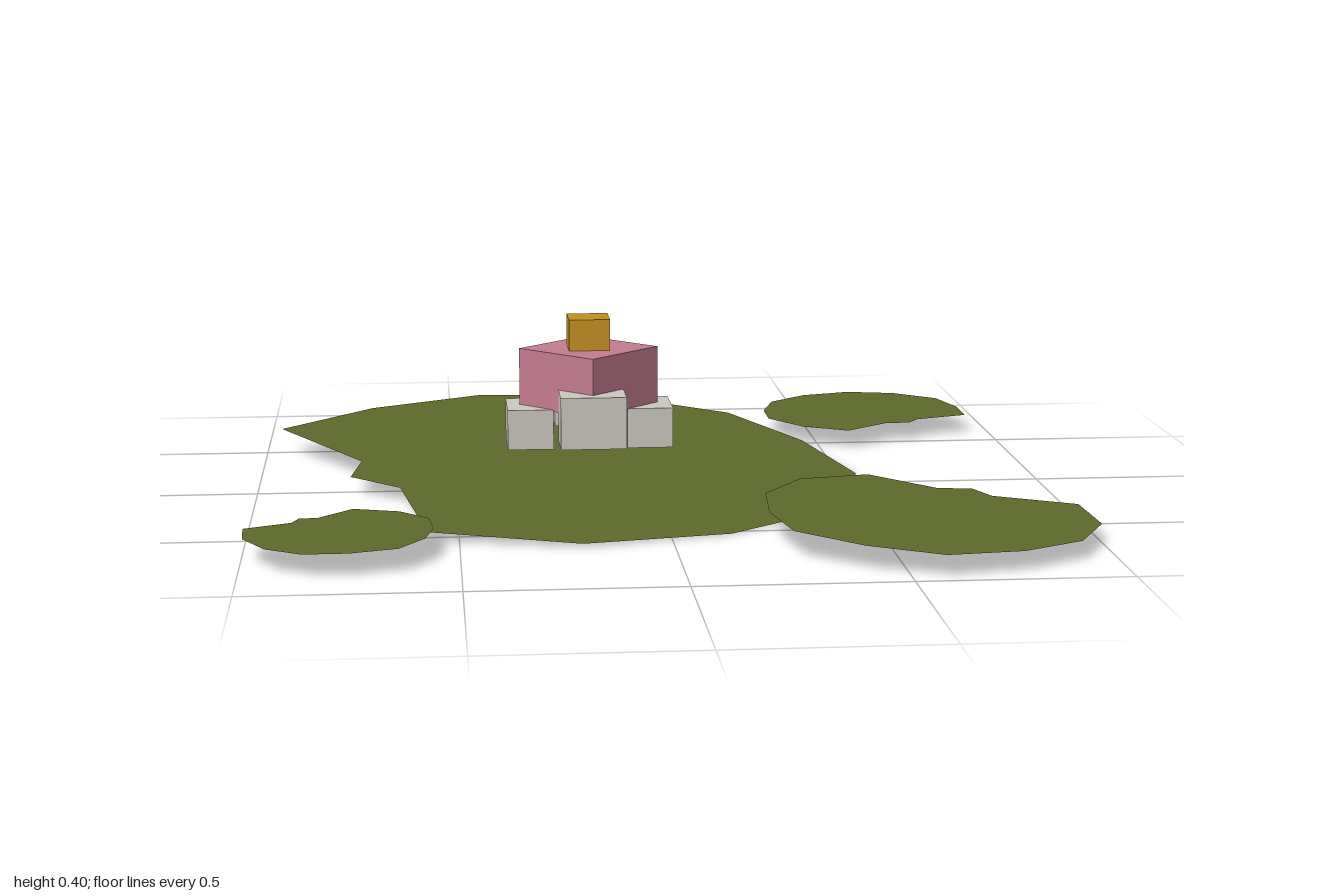
import * as THREE from 'three';

const mat = (name, color, side = THREE.FrontSide) => {
  const m = new THREE.MeshStandardMaterial({ color, side });
  m.name = name;
  return m;
};

// Flat leaf from an [x, z] outline, lying in the plane y = a + b*x + c*z
function leaf(name, outline, [a, b, c], material) {
  const shape = new THREE.Shape(outline.map(([x, z]) => new THREE.Vector2(x, -z)));
  const geo = new THREE.ShapeGeometry(shape).rotateX(-Math.PI / 2);
  const p = geo.attributes.position;
  for (let i = 0; i < p.count; i++) p.setY(i, a + b * p.getX(i) + c * p.getZ(i));
  geo.computeVertexNormals();
  const mesh = new THREE.Mesh(geo, material);
  mesh.name = name;
  return mesh;
}

// Box given by its size and centre
function box(name, size, pos, material) {
  const mesh = new THREE.Mesh(new THREE.BoxGeometry(...size), material);
  mesh.position.set(...pos);
  mesh.name = name;
  return mesh;
}

export function createModel() {
  const model = new THREE.Group();
  model.name = 'waterLily';
  const green = mat('leafGreen', 0x5d692b, THREE.DoubleSide);
  const pale = mat('petalWhite', 0xcac7be);
  const pink = mat('petalPink', 0xc27c90);
  const gold = mat('heartGold', 0xc48f20);

  // Floating leaves, the two larger ones slightly tilted
  model.add(
    leaf('largeLeaf', [
      [-0.415, -0.96], [-0.04, -0.98], [0.285, -0.77], [0.45, -0.44], [0.54, -0.075],
      [0.435, 0.29], [0.145, 0.53], [-0.215, 0.63], [-0.575, 0.54], [-0.64, 0.125],
      [-0.765, 0.02], [-0.74, -0.145], [-0.96, -0.5], [-0.72, -0.77],
    ], [0.022, -0.03, -0.029], green),
    leaf('frontLeaf', [
      [0.525, 0.2], [0.675, 0.34], [0.76, 0.34], [0.795, 0.415], [0.99, 0.49],
      [1, 0.68], [0.915, 0.84], [0.76, 0.935], [0.575, 0.975], [0.405, 0.9],
      [0.26, 0.775], [0.225, 0.6], [0.24, 0.41], [0.345, 0.255],
    ], [0.085, -0.03, -0.015], green),
    leaf('backLeaf', [
      [0.66, -0.98], [0.79, -0.95], [0.9, -0.86], [0.935, -0.73], [0.935, -0.61],
      [0.79, -0.56], [0.76, -0.515], [0.695, -0.515], [0.575, -0.42], [0.46, -0.485],
      [0.38, -0.605], [0.38, -0.72], [0.42, -0.85], [0.525, -0.94],
    ], [0.05, 0, 0], green),
    leaf('smallLeaf', [
      [-0.75, 0.42], [-0.64, 0.455], [-0.57, 0.53], [-0.56, 0.63], [-0.58, 0.73],
      [-0.64, 0.82], [-0.75, 0.855], [-0.855, 0.855], [-0.94, 0.8], [-0.995, 0.7],
      [-1, 0.6], [-0.89, 0.55], [-0.875, 0.51], [-0.83, 0.505],
    ], [0.055, 0, 0], green),
  );

  // Blocky flower: four outer petals, a turned middle block and a small heart
  const flower = new THREE.Group();
  flower.name = 'flower';
  flower.position.set(-0.143, 0, -0.283);
  for (const s of [-1, 1]) {
    flower.add(
      box('sidePetal', [0.12, 0.105, 0.17], [s * 0.157, 0.1125, 0], pale),
      box('endPetal', [0.17, 0.135, 0.12], [0, 0.1525, s * 0.155], pale),
    );
  }
  const middle = box('innerPetals', [0.258, 0.155, 0.258], [0, 0.2375, 0], pink);
  middle.rotation.y = Math.PI / 4;
  flower.add(middle, box('heart', [0.108, 0.085, 0.108], [0, 0.3545, 0], gold));
  model.add(flower);
  return model;
}
